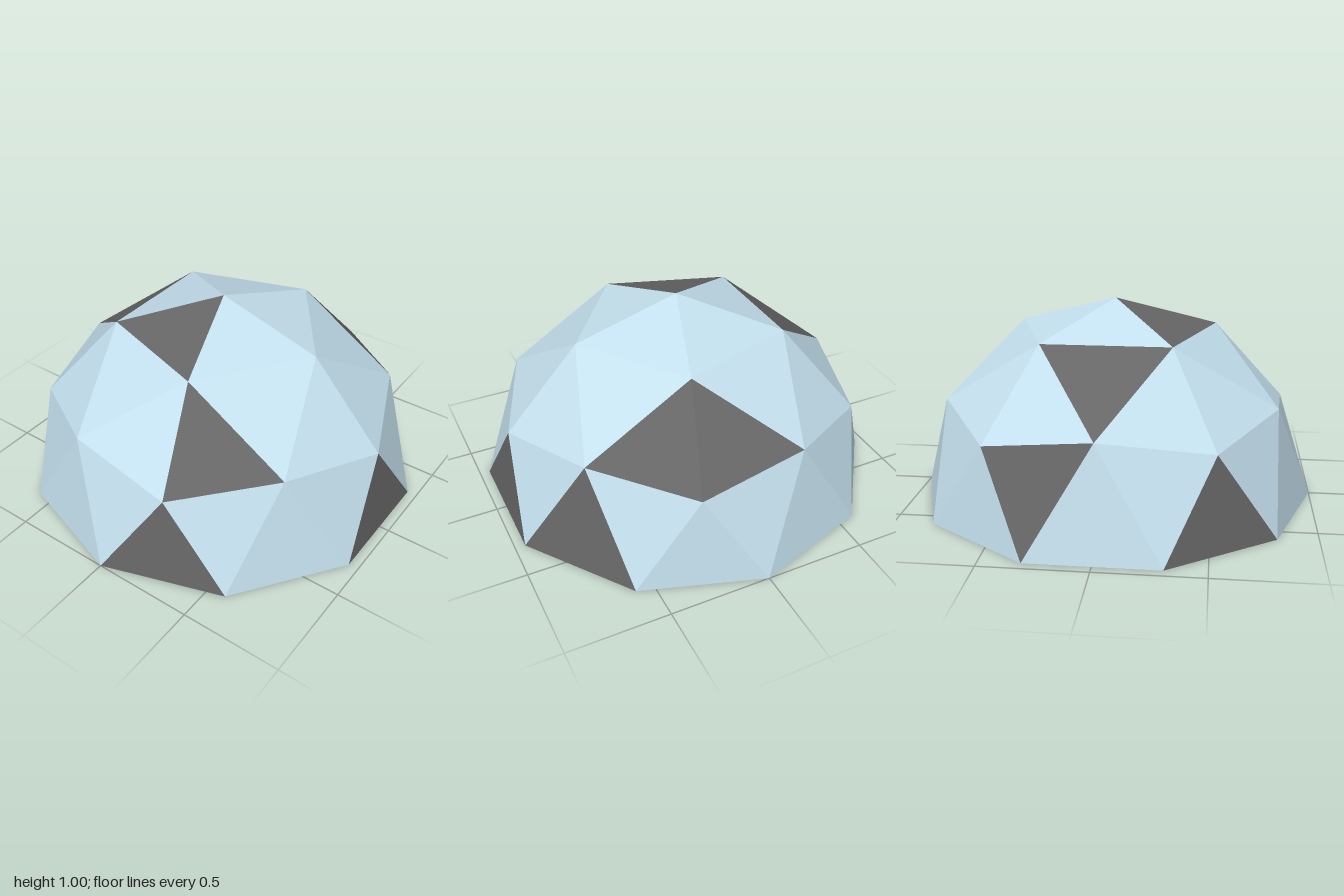
import * as THREE from 'three';

// Point on the unit sphere at a height and a heading (degrees from +x towards +z)
const at = (y, deg) => {
  const r = Math.sqrt(1 - y * y), a = THREE.MathUtils.degToRad(deg);
  return new THREE.Vector3(r * Math.cos(a), y, r * Math.sin(a));
};

const TOP = new THREE.Vector3(0, 1, 0);
const crown = a => at(0.8507, a);    // small ring under the top
const corner = a => at(0.4472, a);   // five-way joints
const middle = a => at(0.5257, a);   // six-way joints between the corners
const foot = a => at(0, a);          // ground ring

// Flat-shaded mesh from triangles, each turned to face outwards
function panelMesh(name, triangles, color) {
  const points = [];
  for (const [a, b, c] of triangles) {
    const normal = b.clone().sub(a).cross(c.clone().sub(a));
    points.push(...(normal.dot(a) > 0 ? [a, b, c] : [a, c, b]));
  }
  const geometry = new THREE.BufferGeometry().setFromPoints(points);
  geometry.computeVertexNormals();
  const mesh = new THREE.Mesh(geometry, new THREE.MeshStandardMaterial({
    color, flatShading: true, side: THREE.DoubleSide,
  }));
  mesh.name = name;
  return mesh;
}

export function createModel() {
  const light = [], dark = [];

  // Sectors (0 to 4) in which each kind of panel is dark
  const darkSectors = {
    cap: [1], capLower: [2], upperLeft: [0, 4], upperRight: [4],
    footCorner: [0, 1, 2], footMiddle: [4], sideLeft: [], sideRight: [2],
  };

  // Five equal sectors of eight panels, each running from one corner to the next
  for (let i = 0; i < 5; i++) {
    const a = i * 72, m = a + 36, b = a + 72;
    const panels = {
      cap: [TOP, crown(a), crown(b)],
      capLower: [crown(a), crown(b), middle(m)],
      upperRight: [crown(a), corner(a), middle(m)],
      upperLeft: [crown(b), corner(b), middle(m)],
      footCorner: [corner(a), foot(a - 18), foot(a + 18)],
      sideLeft: [corner(a), middle(m), foot(a + 18)],
      footMiddle: [middle(m), foot(m - 18), foot(m + 18)],
      sideRight: [middle(m), corner(b), foot(m + 18)],
    };
    // sector 3 ends, and sector 4 begins, at the corner with two dark upper panels
    for (const [kind, triangle] of Object.entries(panels)) {
      const isDark = kind === 'upperLeft' ? [0, 3].includes(i) : darkSectors[kind].includes(i);
      (isDark ? dark : light).push(triangle);
    }
  }

  const dome = new THREE.Group();
  dome.name = 'geodesicDome';
  dome.add(
    panelMesh('lightPanels', light, 0xc4e0ee),
    panelMesh('darkPanels', dark, 0x666666),
  );
  return dome;
}
